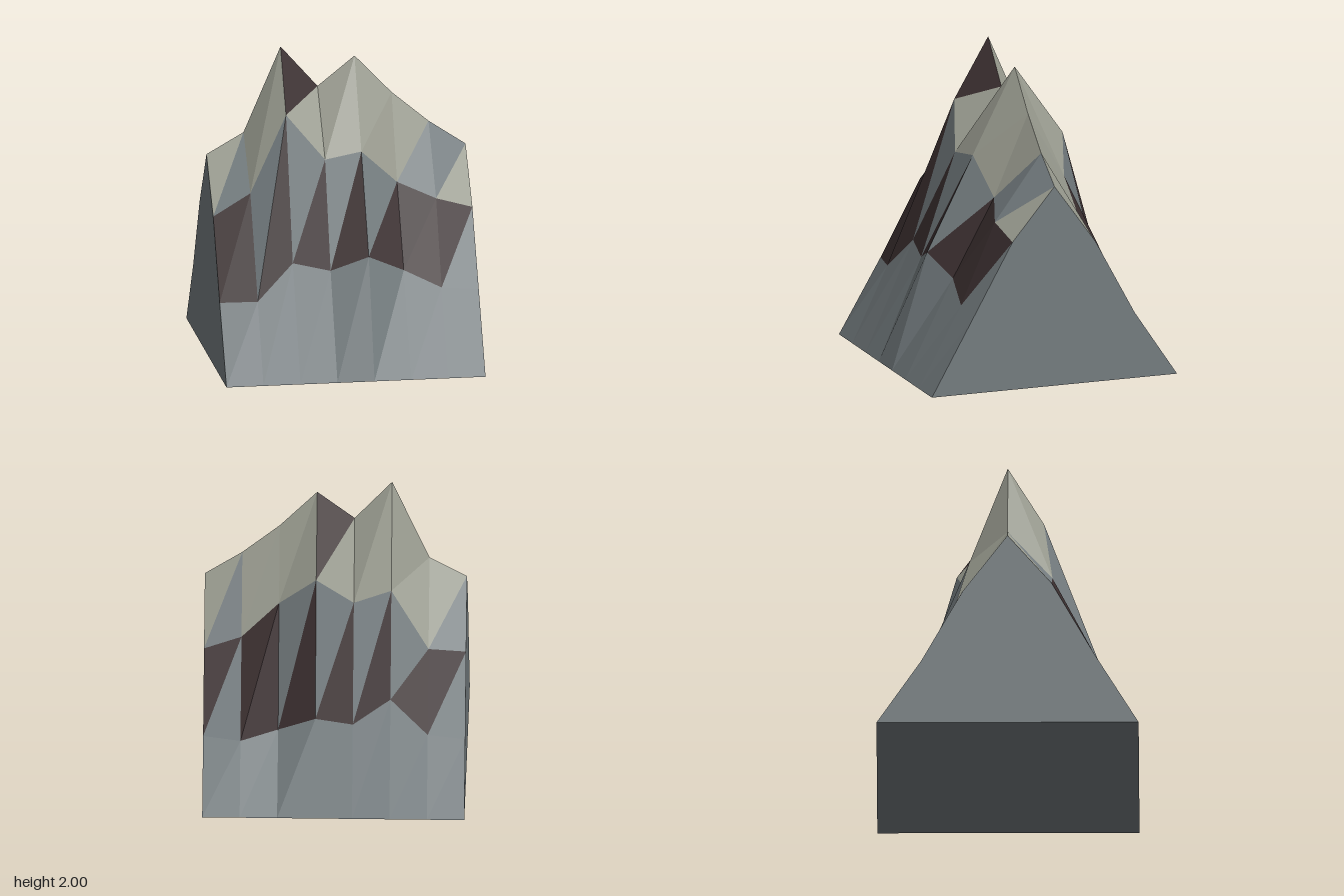
import * as THREE from 'three';

const HALF = 0.833;
const COLS = 7;

// Cross-sections from back to front: height and depth at the eight columns
const rows = [
  { y: Array(8).fill(0), z: Array(8).fill(-HALF) },
  { y: [0.43, 0.47, 0.69, 0.55, 0.58, 0.46, 0.42, 0.43], z: [-0.55, -0.57, -0.505, -0.585, -0.57, -0.505, -0.585, -0.545] },
  { y: [0.92, 0.96, 1.34, 1.26, 1.46, 1.24, 1.0, 0.92], z: [-0.285, -0.325, -0.245, -0.265, -0.325, -0.245, -0.265, -0.28] },
  { y: [1.31, 1.445, 2.0, 1.73, 1.92, 1.67, 1.47, 1.31], z: Array(8).fill(0) },
  { y: [0.975, 1.12, 1.61, 1.33, 1.365, 1.14, 1.045, 0.97], z: [0.28, 0.285, 0.23, 0.315, 0.285, 0.23, 0.315, 0.285] },
  { y: [0.48, 0.49, 0.71, 0.66, 0.755, 0.635, 0.52, 0.5], z: [0.55, 0.595, 0.51, 0.545, 0.595, 0.51, 0.545, 0.55] },
  { y: Array(8).fill(0), z: Array(8).fill(HALF) },
];

// Two letters per cell (back-left and front-right triangle): Rock, Dark rock, Snow
const paint = [
  'RR RR RR RR RR RR RR',
  'RD DR DR DR DR DD RD',
  'RS SS SS SD SS SS RS',
  'SR SS DS SS SS SR RS',
  'DD RD RD RD RD DD DR',
  'RR RR RR RR RR RR RR',
].map((row) => row.split(' '));

const point = (i, j) => [-HALF + (i * 2 * HALF) / COLS, rows[j].y[i], rows[j].z[i]];

function facetMesh(name, triangles, material) {
  const geometry = new THREE.BufferGeometry();
  geometry.setAttribute('position', new THREE.Float32BufferAttribute(triangles.flat(2), 3));
  geometry.computeVertexNormals();
  const mesh = new THREE.Mesh(geometry, material);
  mesh.name = name;
  return mesh;
}

function makeMaterial(name, color) {
  const material = new THREE.MeshStandardMaterial({ color });
  material.name = name;
  return material;
}

export function createModel() {
  const group = new THREE.Group();
  group.name = 'mountain';
  const rock = makeMaterial('slate grey', 0x747c7f);
  const dark = makeMaterial('dark brown', 0x3b2f30);
  const snow = makeMaterial('pale stone', 0x9b9d91);

  // Slopes: each cell is split along the same diagonal
  const slopes = { R: [], D: [], S: [] };
  for (let j = 0; j < 6; j++) {
    for (let i = 0; i < COLS; i++) {
      const a = point(i, j), b = point(i + 1, j);
      const c = point(i, j + 1), d = point(i + 1, j + 1);
      slopes[paint[j][i][0]].push([a, c, b]);
      slopes[paint[j][i][1]].push([c, d, b]);
    }
  }
  group.add(facetMesh('rockSlopes', slopes.R, rock));
  group.add(facetMesh('darkRockPatches', slopes.D, dark));
  group.add(facetMesh('paleSummit', slopes.S, snow));

  // Flat end walls, fanned from the middle of the base edge
  for (const [name, i] of [['rightWall', 0], ['leftWall', COLS]]) {
    const centre = [i ? HALF : -HALF, 0, 0];
    const fan = [];
    for (let j = 0; j < 6; j++) {
      const p = point(i, j), q = point(i, j + 1);
      fan.push(i ? [centre, p, q] : [centre, q, p]);
    }
    group.add(facetMesh(name, fan, rock));
  }

  // Underside
  const a = point(0, 0), b = point(COLS, 0), c = point(0, 6), d = point(COLS, 6);
  group.add(facetMesh('underside', [[a, b, c], [c, b, d]], rock));
  return group;
}
